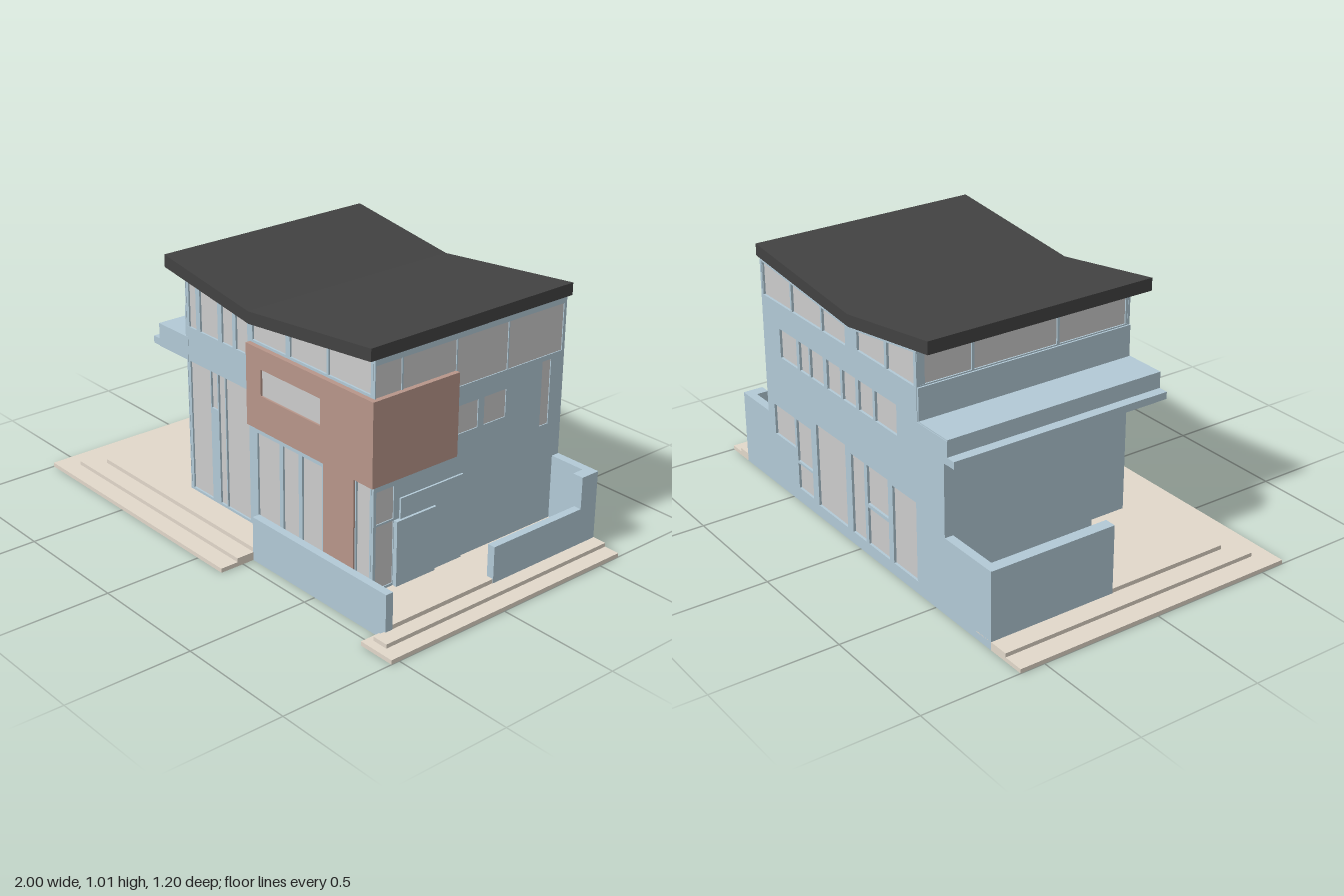
import * as THREE from 'three';

const mat = (color) => new THREE.MeshStandardMaterial({ color, flatShading: true });

export function createModel() {
  const house = new THREE.Group();
  house.name = 'house';
  const blue = mat(0xb2c9d6), brown = mat(0xb8968a), stone = mat(0xe2d8ca);
  const dark = mat(0x424242), grey = mat(0xcccccc);

  // Box given by its min and max on each axis
  function box(name, material, x0, x1, y0, y1, z0, z1) {
    const m = new THREE.Mesh(new THREE.BoxGeometry(x1 - x0, y1 - y0, z1 - z0), material);
    m.position.set((x0 + x1) / 2, (y0 + y1) / 2, (z0 + z1) / 2);
    m.name = name;
    house.add(m);
  }
  const toShape = (pts) => new THREE.Shape(pts.map(([x, y]) => new THREE.Vector2(x, y)));
  const slab = (shape, depth) => new THREE.ExtrudeGeometry(shape, { depth, bevelEnabled: false });
  const rect = (a, b, y0, y1) => [[a, y0], [b, y0], [b, y1], [a, y1]];

  // Wall cut by its window openings, with a pane set back in each
  function wall(name, outline, openings, depth, glassAt, material = blue) {
    const g = new THREE.Group();
    g.name = name;
    const shape = toShape(outline);
    openings.forEach((o) => shape.holes.push(toShape(o)));
    const body = new THREE.Mesh(slab(shape, depth), material);
    body.name = name + 'Body';
    g.add(body);
    openings.forEach((o) => {
      const pane = new THREE.Mesh(slab(toShape(o), 0.004), grey);
      pane.position.z = glassAt;
      pane.name = 'windowPane';
      g.add(pane);
    });
    house.add(g);
    return g;
  }

  // Underside of the butterfly roof
  const roofY = (x) => (x < 0.04 ? 0.89 + (0.04 - x) * 0.147 : 0.89 + (x - 0.04) * 0.0985);
  const clerestory = (a, b, y0) => [[a, y0], [b, y0], [b, roofY(b) - 0.006], [a, roofY(a) - 0.006]];

  // Roof
  const roofShape = toShape([[-0.47, 0.965], [0.04, 0.89], [0.7, 0.955], [0.7, 1.003], [0.04, 0.938], [-0.47, 1.015]]);
  const roof = new THREE.Mesh(slab(roofShape, 0.973), dark);
  roof.position.z = -0.598;
  roof.name = 'roof';
  house.add(roof);

  // Terrace, resting on two rings of overlapping steps
  box('terrace', stone, -0.83, 0.875, 0.033, 0.05, -0.59, 0.45);
  [[0, 0.017, -1, 0.6, 0.845, 1, 0.535], [0.017, 0.033, -0.915, 0.525, 0.87, 0.935, 0.5]]
    .forEach(([y0, y1, xl, zl, xi, xr, zr]) => {
      box('leftStep', stone, xl, xl + 0.17, y0, y1, -0.6, zl);
      box('frontStep', stone, xl + 0.17, 0.145, y0, y1, zl - 0.17, zl);
      box('rightStep', stone, xi, xr, y0, y1, -0.6, zr);
    });
  box('garageFloor', blue, 0.25, 0.7, 0.028, 0.04, -0.598, 0.1);

  // Garden walls
  box('frontGardenWall', blue, 0.145, 0.877, 0, 0.18, 0.42, 0.452);
  box('rightGardenWall', blue, 0.845, 0.877, 0.018, 0.18, -0.52, -0.065);
  box('rightCornerPier', blue, 0.83, 0.877, 0.018, 0.31, -0.598, -0.515);
  box('leftGardenWall', blue, -0.832, -0.785, 0.018, 0.31, -0.598, -0.07);

  // Front wall
  wall('frontWall', [[-0.4, 0.05], [0.666, 0.05], [0.666, roofY(0.666)], [0.04, 0.89], [-0.4, roofY(-0.4)]], [
    rect(-0.395, -0.255, 0.06, 0.6), rect(-0.25, -0.212, 0.45, 0.6), rect(-0.205, -0.165, 0.06, 0.6),
    rect(-0.16, -0.018, 0.06, 0.6),
    rect(0.03, 0.16, 0.06, 0.445), rect(0.18, 0.27, 0.06, 0.445), rect(0.29, 0.4, 0.06, 0.445),
    rect(0.585, 0.662, 0.06, 0.47),
    clerestory(-0.395, -0.335, 0.74), clerestory(-0.31, -0.2, 0.74), clerestory(-0.175, -0.11, 0.74),
    clerestory(-0.09, -0.02, 0.74),
    clerestory(0.01, 0.2, 0.81), clerestory(0.225, 0.425, 0.81), clerestory(0.435, 0.655, 0.81),
  ], 0.02, 0.008).position.z = 0.315;

  // Back wall, joined with the low garden wall
  const strip = [[0.42, 0.545], [0.33, 0.4], [0.225, 0.32], [0.105, 0.2], [0, 0.09], [-0.115, -0.02], [-0.27, -0.13]];
  wall('backWall', [[-0.83, 0], [0.875, 0], [0.875, 0.31], [0.665, 0.31], [0.665, roofY(0.665)], [0.04, 0.89],
    [-0.4, roofY(-0.4)], [-0.4, 0.69], [-0.58, 0.69], [-0.58, 0.6], [-0.56, 0.6], [-0.56, 0.31], [-0.83, 0.31]], [
    ...strip.map(([a, b]) => rect(a, b, 0.585, 0.705)),
    rect(0.465, 0.62, 0.23, 0.36), rect(0.34, 0.45, 0.18, 0.36), rect(0.34, 0.45, 0.06, 0.17),
    rect(0.09, 0.3, 0.05, 0.4), rect(-0.04, 0.05, 0.05, 0.38), rect(-0.2, -0.06, 0.22, 0.38),
    rect(-0.2, -0.06, 0.05, 0.205), rect(-0.39, -0.23, 0.05, 0.37),
    clerestory(0.45, 0.66, 0.81), clerestory(0.23, 0.44, 0.81), clerestory(0.06, 0.22, 0.81),
    clerestory(-0.2, -0.02, 0.82), clerestory(-0.39, -0.215, 0.82),
  ], 0.035, 0.01).position.z = -0.6;

  // Side walls, drawn with -z running along the shape's x
  const right = wall('rightWall', rect(-0.334, 0.598, 0.05, 0.95), [
    rect(-0.33, -0.212, 0.79, 0.92), rect(-0.205, 0.045, 0.79, 0.92),
    rect(0.05, 0.3, 0.735, 0.92), rect(0.305, 0.585, 0.735, 0.92),
    rect(0.05, 0.16, 0.55, 0.66), rect(0.19, 0.3, 0.55, 0.66), rect(0.485, 0.53, 0.455, 0.715),
    rect(-0.322, -0.24, 0.06, 0.31), rect(-0.322, -0.24, 0.318, 0.445),
  ], 0.02, 0.012);
  right.rotation.y = Math.PI / 2;
  right.position.x = 0.656;

  const left = wall('leftWall', rect(-0.334, 0.598, 0.05, 0.954), [
    rect(-0.325, -0.01, 0.825, 0.945), rect(0.0, 0.36, 0.825, 0.945), rect(0.37, 0.59, 0.825, 0.945),
  ], 0.02, 0.006);
  left.rotation.y = Math.PI / 2;
  left.position.x = -0.401;
  box('leftSill', blue, -0.408, -0.39, 0.68, 0.82, -0.598, 0.333);

  // Left wing under the balcony ledge
  box('leftWing', blue, -0.56, -0.395, 0.04, 0.61, -0.598, 0.05);
  box('balconyLedge', blue, -0.58, -0.39, 0.6, 0.695, -0.598, 0.336);
  box('ledgeLip', blue, -0.62, -0.57, 0.601, 0.63, -0.6, 0.335);

  // Projecting clad room with its wide window, and the panel below it
  box('cladRoom', brown, -0.005, 0.692, 0.475, 0.8, -0.047, 0.341);
  wall('cladFront', rect(-0.005, 0.692, 0.475, 0.8), [rect(0.08, 0.415, 0.615, 0.72)], 0.015, 0.003, brown)
    .position.z = 0.34;
  box('cladPanel', brown, 0.415, 0.58, 0.05, 0.48, 0.33, 0.342);

  // Side door panels
  box('sideDoor', blue, 0.67, 0.684, 0.05, 0.39, -0.09, 0.213);
  box('sideDoorLeaf', blue, 0.67, 0.694, 0.05, 0.31, 0.05, 0.238);

  return house;
}
